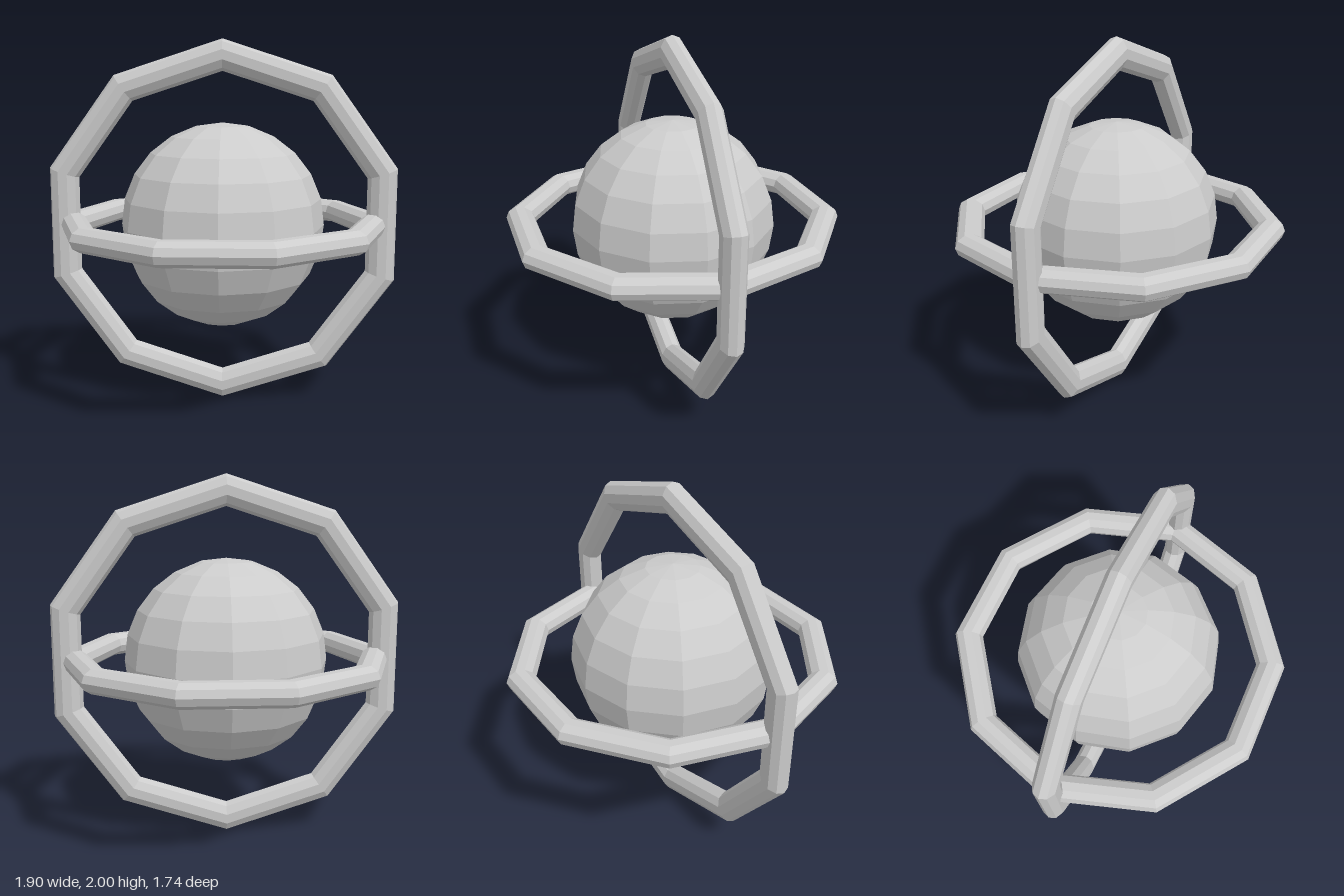
import * as THREE from 'three';

const material = new THREE.MeshStandardMaterial({ color: 0xcccccc, flatShading: true });

// Ten-sided ring in the XY plane, outer radius 1, slightly flattened along its axis
function ringGeometry() {
  const tube = 0.085;
  return new THREE.TorusGeometry(1 - tube, tube, 10, 10).scale(1, 1, 0.77);
}

export function createModel() {
  const model = new THREE.Group();
  const add = (name, geometry) => {
    const mesh = new THREE.Mesh(geometry, material);
    mesh.name = name;
    mesh.position.y = 1;
    model.add(mesh);
  };

  // Faceted ball in the middle
  add('core', new THREE.SphereGeometry(0.557, 12, 12));

  // Upright ring, one corner pointing up
  add('uprightRing', ringGeometry().rotateZ(Math.PI / 2).scale(0.998, 1, 1));

  // Smaller level ring, corners pointing left and right
  add('levelRing', ringGeometry().scale(0.902, 0.914, 1).rotateX(Math.PI / 2));

  return model;
}
